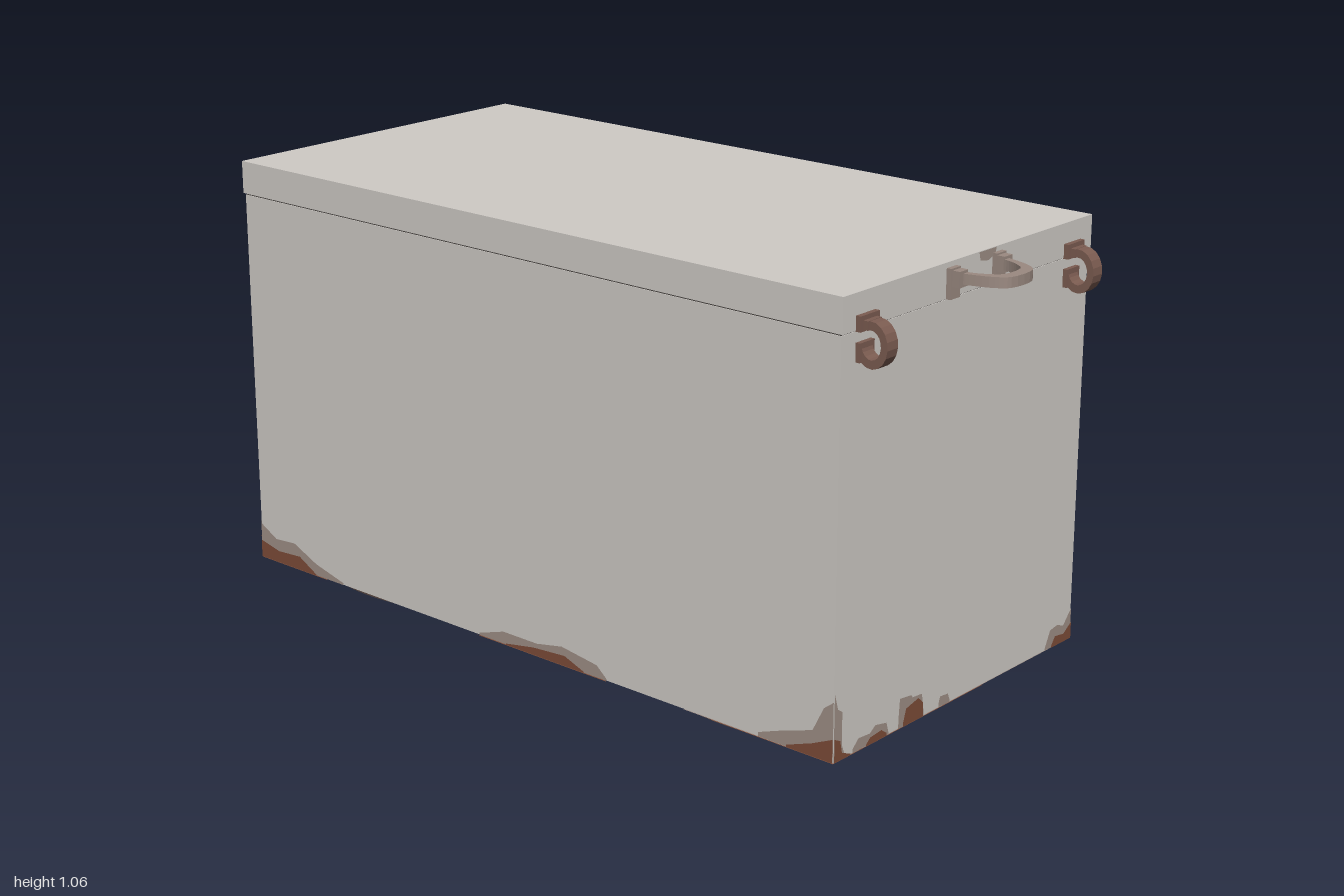
import * as THREE from 'three';

const mat = (name, color, side = THREE.FrontSide) => {
  const m = new THREE.MeshStandardMaterial({ color, side });
  m.name = name;
  return m;
};

export function createModel() {
  const group = new THREE.Group();
  group.name = 'trunk';
  const metal = mat('paleMetal', 0xcfcbc6);
  const seam = mat('darkSeam', 0x4a4643);
  const handleMat = mat('wornHandle', 0x9b8a81);
  const latchMat = mat('rustyLatch', 0x7c5c51);
  const footMat = mat('footRubber', 0x5e4c46);
  const stainMat = mat('stain', 0x9f8f86, THREE.DoubleSide);
  const rustMat = mat('rust', 0x7d4c38, THREE.DoubleSide);

  const W = 0.457, L = 0.926, Y0 = 0.03, SEAM = 0.98, TOP = 1.06;

  // The whole trunk stands slightly skewed about the vertical axis
  const skew = new THREE.Matrix4().set(
    1, 0, -0.0345, -0.0025,
    0, 1, 0, 0,
    0.0225, 0, 1, -0.056,
    0, 0, 0, 1);
  const add = (name, geo, material) => {
    geo.applyMatrix4(skew);
    const m = new THREE.Mesh(geo, material);
    m.name = name;
    group.add(m);
  };
  const box = (name, w, h, d, x, y, z, material) =>
    add(name, new THREE.BoxGeometry(w, h, d).translate(x, y, z), material);
  const shapeOf = pts => new THREE.Shape(pts.map(p => new THREE.Vector2(p[0], p[1])));

  // Case, seam and lid
  box('body', 2 * W, SEAM - 0.004 - Y0, 2 * L, 0, (Y0 + SEAM - 0.004) / 2, 0, metal);
  box('lidSeam', 2 * W - 0.004, 0.008, 2 * L - 0.004, 0, SEAM - 0.002, 0, seam);
  box('lid', 0.92, TOP - SEAM, 1.862, 0, (TOP + SEAM) / 2, 0, metal);

  // Oval feet
  for (const x of [-0.388, 0.388]) for (const z of [-0.58, 0.58]) {
    const foot = new THREE.CylinderGeometry(1, 0.94, Y0, 28);
    add('foot', foot.scale(0.027, 1, 0.135).translate(x, Y0 / 2, z), footMat);
  }

  // Latches: two plates and a curved hook
  for (const x of [-0.384, 0.382]) {
    box('latchTopPlate', 0.065, 0.034, 0.014, x, 0.995, L + 0.01, latchMat);
    box('latchHinge', 0.046, 0.02, 0.026, x, 0.992, L + 0.016, latchMat);
    box('latchLowerPlate', 0.05, 0.042, 0.012, x, 0.931, L + 0.005, latchMat);
    const outer = [], inner = [];
    for (let i = 0; i <= 14; i++) {
      const a = THREE.MathUtils.degToRad(115 - i * 20);
      outer.push([0.034 + 0.042 * Math.cos(a), 0.951 + 0.051 * Math.sin(a)]);
      inner.unshift([0.034 + 0.025 * Math.cos(a), 0.951 + 0.032 * Math.sin(a)]);
    }
    const hook = new THREE.ExtrudeGeometry(shapeOf([...outer, ...inner]),
      { depth: 0.036, bevelEnabled: false });
    add('latchHook', hook.rotateY(-Math.PI / 2).translate(x + 0.018, 0, L), latchMat);
  }

  // Carrying handle: two brackets and a flat bowed grip
  for (const s of [-1, 1]) {
    box('handleBracket', 0.035, 0.068, 0.014, s * 0.085, 1.014, L + 0.01, handleMat);
    box('handleSocket', 0.03, 0.036, 0.034, s * 0.083, 1.026, L + 0.019, handleMat);
  }
  const bow = (a, depth) => {
    const half = [[a, 0.015], [a * 0.93, 0.05], [a * 0.72, depth * 0.8], [a * 0.45, depth]];
    const pts = [...half, ...half.slice().reverse().map(p => [-p[0], p[1]])];
    return new THREE.CatmullRomCurve3(pts.map(p => new THREE.Vector3(p[0], p[1], 0)))
      .getPoints(28).map(p => [p.x, p.y]);
  };
  const grip = new THREE.ExtrudeGeometry(
    shapeOf([...bow(0.088, 0.128), ...bow(0.07, 0.102).reverse()]),
    { depth: 0.024, bevelEnabled: false });
  add('handleGrip', grip.rotateX(Math.PI / 2).translate(0, 1.038, L), handleMat);

  // Ragged patches, drawn flat and set just off a face
  const faces = {
    front: (g, o) => g.translate(0, 0, L + o),
    back: (g, o) => g.rotateY(Math.PI).translate(0, 0, -L - o),
    right: (g, o) => g.scale(-1, 1, 1).rotateY(Math.PI / 2).translate(W + o, 0, 0),
    left: (g, o) => g.rotateY(-Math.PI / 2).translate(-W - o, 0, 0),
    bottom: (g, o) => g.rotateX(Math.PI / 2).translate(0, Y0 - o, 0),
  };
  const patch = (face, pts, rust, lift = 0) => add(rust ? 'rustPatch' : 'stainPatch',
    faces[face](new THREE.ShapeGeometry(shapeOf(pts)), (rust ? 0.003 : 0.0015) + lift),
    rust ? rustMat : stainMat);
  // A patch that climbs from the bottom edge: [distance along face, height]
  const creep = (face, tops, rust) => patch(face,
    [[tops[0][0], Y0], ...tops.map(p => [p[0], Y0 + p[1]]), [tops[tops.length - 1][0], Y0]], rust);

  creep('front', [[-W, 0.16], [-0.445, 0.12], [-0.43, 0.11], [-0.428, 0.03], [-0.42, 0.01]], false);
  creep('front', [[-W, 0.055], [-0.437, 0.045], [-0.43, 0.015], [-0.4, 0.003]], true);
  creep('front', [[-0.39, 0.01], [-0.37, 0.028], [-0.33, 0.025], [-0.31, 0.038], [-0.27, 0.03], [-0.262, 0.005]], false);
  creep('front', [[-0.345, 0.004], [-0.33, 0.016], [-0.29, 0.02], [-0.27, 0.006]], true);
  creep('front', [[-0.226, 0.02], [-0.222, 0.07], [-0.18, 0.065], [-0.175, 0.058], [-0.14, 0.055], [-0.132, 0.01]], false);
  creep('front', [[-0.21, 0.01], [-0.2, 0.04], [-0.155, 0.05], [-0.138, 0.035], [-0.135, 0.004]], true);
  creep('front', [[-0.075, 0.01], [-0.07, 0.025], [-0.04, 0.022], [-0.033, 0.005]], false);
  creep('front', [[0.35, 0.005], [0.37, 0.045], [0.4, 0.05], [0.425, 0.04], [W, 0.075]], false);
  creep('front', [[0.375, 0.005], [0.39, 0.025], [0.425, 0.02], [W, 0.04]], true);

  // Right side, distances run along z
  creep('right', [[0.53, 0.005], [0.47, 0.04], [0.46, 0.085], [0.42, 0.07], [0.38, 0.05], [0.28, 0.07],
    [0.2, 0.05], [0.08, 0.045], [0, 0.06], [-0.12, 0.05], [-0.19, 0.045], [-0.24, 0.015], [-0.42, 0.005]], false);
  creep('right', [[0.47, 0.005], [0.44, 0.045], [0.4, 0.055], [0.36, 0.04], [0.26, 0.05], [0.18, 0.035],
    [0.05, 0.03], [-0.03, 0.042], [-0.15, 0.035], [-0.19, 0.004]], true);
  creep('right', [[L, 0.035], [0.9, 0.02], [0.82, 0.01], [0.75, 0.003]], false);
  creep('right', [[L, 0.016], [0.89, 0.01], [0.84, 0.002]], true);
  patch('right', [[-L, 0.93], [-L, 0.974], [-0.8, 0.974], [-0.83, 0.964], [-0.9, 0.96]], false);
  patch('right', [[-0.23, 0.974], [-0.3, 0.974], [-0.28, 0.965], [-0.25, 0.965]], false);
  patch('right', [[L, 0.982], [0.915, 0.985], [0.905, 1.02], [0.9, 1.055], [L, 1.059]], false, 0.003);

  // Left side
  creep('left', [[-L, 0.09], [-0.87, 0.06], [-0.8, 0.065], [-0.72, 0.03], [-0.62, 0.005]], false);
  creep('left', [[-L, 0.045], [-0.86, 0.03], [-0.78, 0.035], [-0.72, 0.003]], true);
  creep('left', [[-0.14, 0.005], [-0.06, 0.03], [0.05, 0.03], [0.13, 0.045], [0.24, 0.03], [0.27, 0.005]], false);
  creep('left', [[-0.05, 0.003], [0.04, 0.018], [0.14, 0.025], [0.2, 0.003]], true);
  creep('left', [[0.72, 0.01], [0.79, 0.035], [0.87, 0.06], [0.9, 0.12], [L, 0.14]], false);
  creep('left', [[0.8, 0.005], [0.87, 0.03], [L, 0.055]], true);

  // Back, distances run towards the right-hand viewer side
  creep('back', [[0.2, 0.005], [0.29, 0.02], [0.36, 0.05], [0.41, 0.06], [W, 0.1]], false);
  creep('back', [[0.3, 0.005], [0.37, 0.025], [W, 0.055]], true);
  patch('back', [[-W, 0.94], [-0.435, 0.955], [-0.42, 0.974], [-W, 0.974]], false);

  // Underside: front edge, front left corner, left edge and back edge
  patch('bottom', [[-W, L], [W, L], [W, 0.82], [0.38, 0.85], [0.3, 0.83], [0.2, 0.87], [0.08, 0.84],
    [-0.05, 0.85], [-0.18, 0.8], [-0.27, 0.79], [-0.33, 0.7], [-0.39, 0.68], [-0.43, 0.55], [-W, 0.5]], false);
  patch('bottom', [[-W, L], [0.1, L], [0, 0.89], [-0.15, 0.86], [-0.25, 0.83], [-0.31, 0.75],
    [-0.39, 0.72], [-0.43, 0.62], [-W, 0.58]], true);
  patch('bottom', [[-W, 0.27], [-0.43, 0.2], [-0.42, 0.08], [-0.43, -0.08], [-W, -0.15]], true);
  patch('bottom', [[-W, -L], [-W, -0.68], [-0.43, -0.75], [-0.41, -0.85], [-0.33, -L]], true);
  patch('bottom', [[-0.08, -L], [-0.04, -0.9], [0.05, -0.89], [0.09, -L]], false);

  // Stain on the front of the lid
  patch('front', [[0.015, 1.059], [0.02, 1.04], [0.05, 1.035], [0.075, 1.045], [0.08, 1.059]], false, 0.005);

  return group;
}
